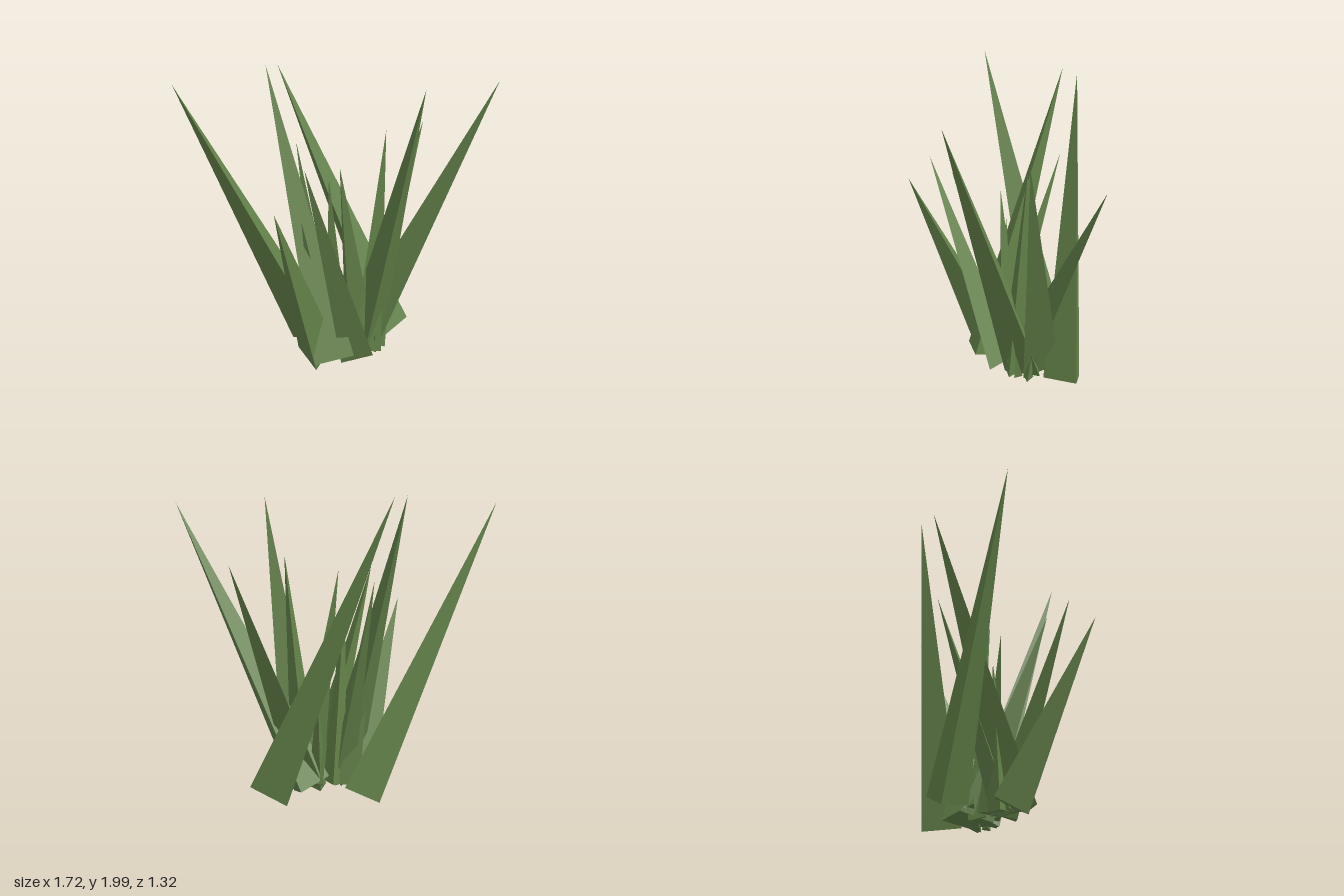
import * as THREE from 'three';

export function createModel() {
  const group = new THREE.Group();
  group.name = 'grassTuft';
  const green = new THREE.MeshStandardMaterial({ color: 0x64824a, flatShading: true });
  green.name = 'leafGreen';

  // A three-sided blade from its base centre to its tip; toward is a point one base corner faces
  function blade(name, tip, base, toward, radius) {
    const t = new THREE.Vector3(...tip), b = new THREE.Vector3(...base);
    const axis = t.clone().sub(b);
    const height = axis.length();
    axis.normalize();
    const z = new THREE.Vector3(...toward).sub(b);
    z.addScaledVector(axis, -z.dot(axis)).normalize();
    const x = new THREE.Vector3().crossVectors(axis, z);
    const geometry = new THREE.ConeGeometry(radius, height, 3);
    geometry.translate(0, height / 2, 0);
    geometry.applyMatrix4(new THREE.Matrix4().makeBasis(x, axis, z).setPosition(b));
    const mesh = new THREE.Mesh(geometry, green);
    mesh.name = name;
    group.add(mesh);
  }

  // Tall outer blades
  blade('tallBladeBackRight', [-0.86, 1.95, -0.62], [0.07, 0.075, -0.365], [0.03, 0.08, -0.21], 0.157);
  blade('tallBladeBackLeft', [0.01, 1.985, -0.66], [0.54, 0.07, -0.07], [0.68, 0.13, -0.02], 0.158);
  blade('tallBladeBack', [-0.105, 1.995, -0.64], [-0.12, 0.07, 0.1], [-0.27, 0.07, 0.09], 0.157);
  blade('tallBladeFront', [0.155, 1.985, 0.655], [0.235, 0.07, 0.01], [0.4, 0.07, 0.04], 0.157);
  blade('tallBladeFrontLeft', [0.86, 1.95, 0.62], [0.26, 0.075, -0.06], [0.275, 0, 0.08], 0.157);

  // Middle blades
  blade('middleBladeLeft', [0.84, 1.57, -0.06], [0.2, 0.08, 0.01], [0.1, 0.1, 0.09], 0.13);
  blade('middleBladeRight', [-0.71, 1.26, 0.24], [-0.15, 0.07, -0.05], [-0.21, 0.1, -0.2], 0.15);
  blade('middleBladeFrontRight', [-0.47, 1.5, 0.24], [0.06, 0.07, 0.125], [0.11, 0.08, 0.24], 0.13);
  blade('middleBladeFront', [-0.21, 1.48, 0.27], [0.2, 0.07, -0.02], [0.2, 0.1, -0.2], 0.13);
  blade('middleBladeCentre', [0.33, 1.61, 0.11], [0.18, 0.06, 0.08], [0.05, 0.07, 0.08], 0.12);
  blade('middleBladeBack', [0.035, 1.465, -0.49], [-0.055, 0.06, 0.02], [-0.15, 0.06, -0.03], 0.1);

  // Short inner blades
  blade('shortBladeCentre', [-0.06, 1.32, -0.02], [0.02, 0.06, -0.02], [-0.1, 0.06, -0.04], 0.1);
  blade('shortBladeRight', [-0.17, 1.0, -0.18], [-0.06, 0.05, -0.03], [-0.08, 0.05, 0.1], 0.1);
  blade('shortBladeLeft', [0.24, 0.75, -0.15], [0.16, 0.05, -0.03], [0.2, 0.05, 0.02], 0.07);

  // Sprouts at the foot
  blade('sproutLeft', [0.37, 0.23, 0.1], [0.32, 0.04, 0.08], [0.36, 0.04, 0.13], 0.04);
  blade('sproutMiddle', [0.25, 0.21, 0.13], [0.24, 0.03, 0.1], [0.24, 0.03, 0.16], 0.035);
  blade('sproutRight', [0.2, 0.18, 0.17], [0.22, 0.06, 0.12], [0.2, 0.06, 0.16], 0.03);
  return group;
}
